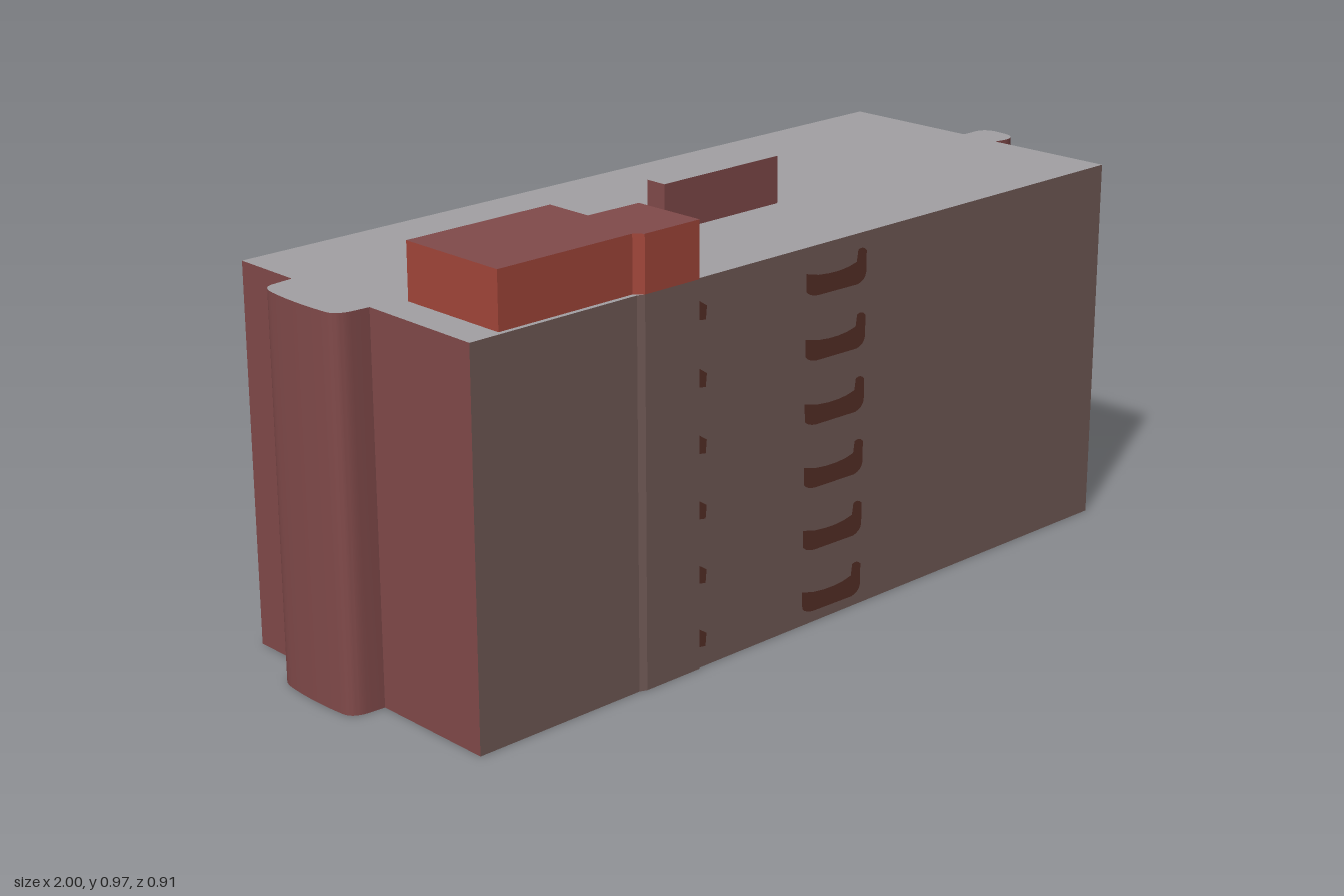
import * as THREE from 'three';
import { toCreasedNormals } from 'three/addons/utils/BufferGeometryUtils.js';

const WALL_H = 0.847;
const TURN = 0.0995; // the building stands slightly turned

function paint(name, color) {
  const m = new THREE.MeshStandardMaterial({ color });
  m.name = name;
  return m;
}

// Extrude a plan upwards and colour each triangle by a rule
function extrudePlan(name, shape, y0, y1, materials, pick) {
  const raw = new THREE.ExtrudeGeometry(shape, { depth: y1 - y0, bevelEnabled: false, curveSegments: 7 });
  raw.rotateX(-Math.PI / 2).translate(0, y0, 0);
  const geo = toCreasedNormals(raw, 0.3);
  const p = geo.attributes.position;
  const tri = new THREE.Triangle(), n = new THREE.Vector3(), c = new THREE.Vector3();
  geo.clearGroups();
  for (let i = 0; i < p.count; i += 3) {
    tri.setFromAttributeAndIndices(p, i, i + 1, i + 2);
    tri.getNormal(n);
    tri.getMidpoint(c);
    geo.addGroup(i, 3, pick(n, c));
  }
  const mesh = new THREE.Mesh(geo, materials);
  mesh.name = name;
  return mesh;
}

// Plan from [x, z] corners
const plan = (pts) => new THREE.Shape(pts.map(([x, z]) => new THREE.Vector2(x, -z)));

export function createModel() {
  const model = new THREE.Group();
  model.name = 'building';
  const roof = paint('roof grey', 0xa2a0a3);
  const wall = paint('wall brown', 0x725b57);
  const endWall = paint('end wall red', 0x814a4a);
  const brick = paint('brick red', 0xa2463a);
  const floor = paint('floor cream', 0xd7c49c);
  const dark = paint('balcony brown', 0x573027);
  const glass = paint('window grey', 0x9ea29f);

  // Main body, with a shallow pilaster in front and a rounded bay at each end
  const body = new THREE.Shape();
  const to = (x, z) => body.lineTo(x, -z);
  const round = (cx, cz, x, z) => body.quadraticCurveTo(cx, -cz, x, -z);
  body.moveTo(-0.955, -0.27);
  to(-0.535, 0.311);
  to(-0.52, 0.319);
  to(-0.373, 0.3335);
  to(-0.372, 0.328);
  to(0.9, 0.455);
  to(0.919, 0.147);
  to(0.95, 0.156);
  round(0.99, 0.16, 0.997, 0.115);
  to(1, 0.09);
  round(1, 0.058, 0.97, 0.055);
  to(0.928, 0.051);
  to(0.95, -0.276);
  to(-0.877, -0.454);
  to(-0.895, -0.284);
  to(-0.95, -0.284);
  round(-0.975, -0.28, -0.983, -0.24);
  round(-1, -0.16, -1, -0.07);
  round(-0.998, -0.045, -0.965, -0.037);
  to(-0.924, -0.03);
  body.closePath();
  model.add(extrudePlan('mainBody', body, 0, WALL_H, [roof, floor, wall, endWall], (n, c) => {
    if (n.y > 0.5) return 0;
    if (n.y < -0.5) return 1;
    return Math.abs(n.z) > 0.8 && Math.abs(c.x) < 0.89 ? 2 : 3;
  }));

  // Stepped stair head on the roof
  const head = plan([[-0.85, 0], [-0.485, 0.035], [-0.495, 0.147], [-0.36, 0.162],
    [-0.373, 0.3335], [-0.52, 0.319], [-0.535, 0.3], [-0.875, 0.267]]);
  model.add(extrudePlan('stairHead', head, WALL_H, 0.97, [endWall, brick], (n) => (n.y > 0.5 ? 0 : 1)));

  // Narrow chimney block
  const chimney = plan([[-0.167, 0.015], [0.17, 0.046], [0.165, 0.097], [-0.172, 0.066]]);
  model.add(extrudePlan('chimney', chimney, WALL_H, 0.953, [roof, endWall], (n) => (n.y > 0.5 ? 0 : 1)));

  // Painted balconies on the front wall, one row per floor
  const front = new THREE.Group();
  front.name = 'frontBalconies';
  front.position.set(0, 0, 0.3675);
  front.rotation.y = -TURN;
  const wide = new THREE.Shape();
  wide.moveTo(-0.066, 0.055);
  wide.lineTo(-0.065, 0.016);
  wide.quadraticCurveTo(-0.055, 0.004, -0.03, 0.002);
  wide.lineTo(0.09, 0);
  wide.quadraticCurveTo(0.113, 0.004, 0.116, 0.022);
  wide.lineTo(0.116, 0.07);
  wide.quadraticCurveTo(0.105, 0.082, 0.09, 0.076);
  wide.lineTo(0.086, 0.05);
  wide.quadraticCurveTo(0.04, 0.036, -0.03, 0.046);
  wide.closePath();
  const small = new THREE.Shape();
  small.moveTo(-0.372, 0.024);
  small.lineTo(-0.354, 0.021);
  small.lineTo(-0.351, 0.05);
  small.lineTo(-0.36, 0.056);
  small.lineTo(-0.372, 0.064);
  small.closePath();
  const wideGeo = new THREE.ShapeGeometry(wide, 4);
  const smallGeo = new THREE.ShapeGeometry(small);
  for (let i = 0; i < 6; i++) {
    for (const [name, geo] of [['wideBalcony', wideGeo], ['smallBalcony', smallGeo]]) {
      const m = new THREE.Mesh(geo, dark);
      m.name = name;
      m.position.y = 0.024 + i * 0.1425;
      front.add(m);
    }
  }
  model.add(front);

  // Single window on the back wall
  const win = new THREE.Mesh(new THREE.PlaneGeometry(0.225, 0.145), glass);
  win.name = 'backWindow';
  win.position.set(0.1, 0.302, -0.3615);
  win.rotation.y = Math.PI - 0.0971;
  model.add(win);

  return model;
}
